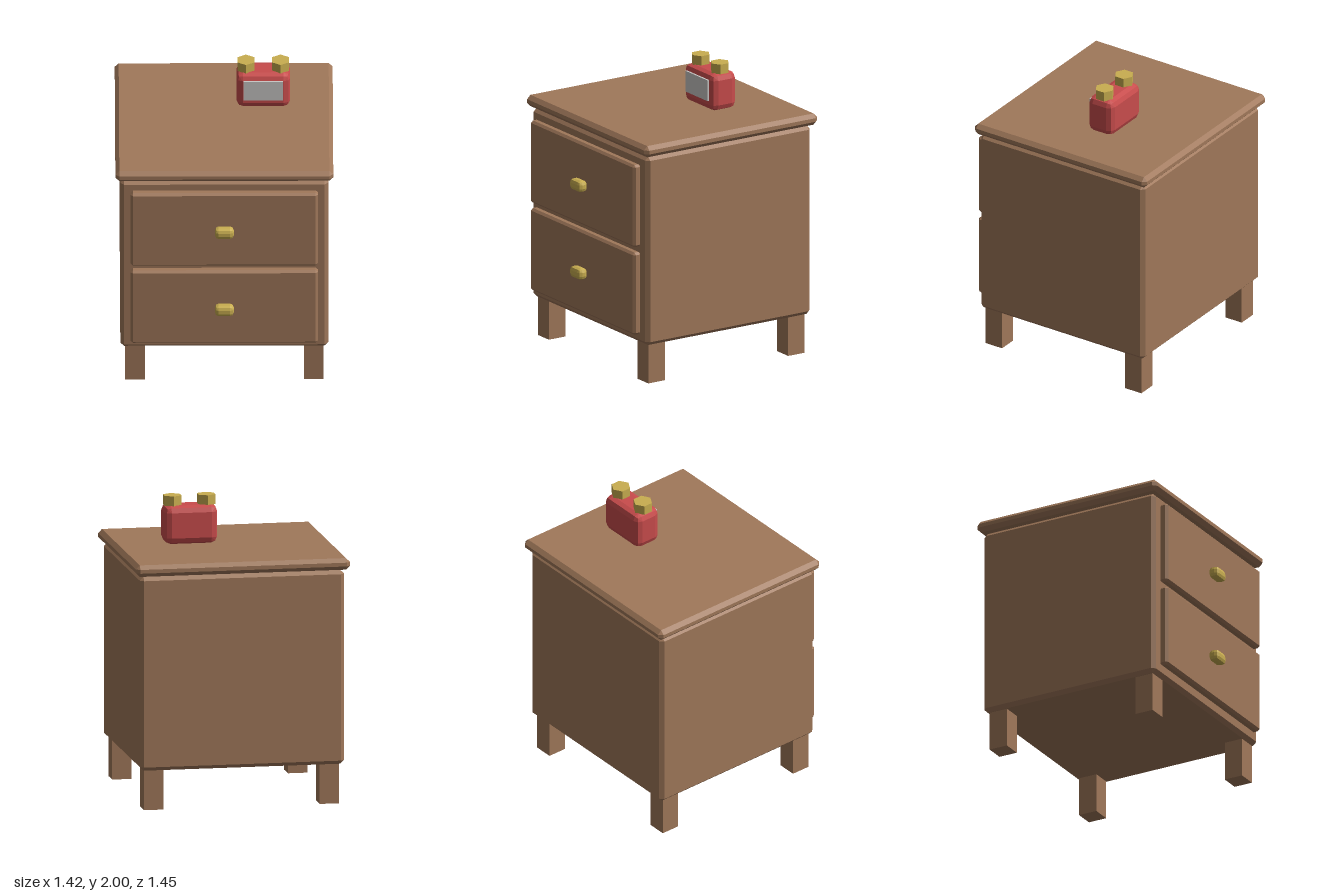
import * as THREE from 'three';
import { ConvexGeometry } from 'three/addons/geometries/ConvexGeometry.js';

const mat = (name, color) => {
  const m = new THREE.MeshStandardMaterial({ color });
  m.name = name;
  return m;
};

// Directions that shape a box corner: one flat chamfer, or a two-step rounding
const CHAMFER = [[1, 0, 0], [0, 1, 0], [0, 0, 1]];
const e = Math.SQRT1_2, c = 1 / Math.sqrt(3);
const ROUND = [...CHAMFER, [e, e, 0], [e, 0, e], [0, e, e], [c, c, c]];

// Box with softened edges of radius r
function softBox(w, h, d, r, corner) {
  const points = [];
  for (const sx of [-1, 1]) for (const sy of [-1, 1]) for (const sz of [-1, 1])
    for (const [x, y, z] of corner)
      points.push(new THREE.Vector3(
        sx * (w / 2 - r + r * x),
        sy * (h / 2 - r + r * y),
        sz * (d / 2 - r + r * z)));
  return new ConvexGeometry(points);
}

export function createModel() {
  const wood = mat('wood', 0xa0785a);
  const brass = mat('brass', 0xc9ae50);
  const red = mat('red enamel', 0xc94c4c);
  const pale = mat('pale face', 0xc8c6c4);

  const model = new THREE.Group();
  model.name = 'nightstand';
  const add = (parent, name, geometry, material, x, y, z) => {
    const mesh = new THREE.Mesh(geometry, material);
    mesh.name = name;
    mesh.position.set(x, y, z);
    parent.add(mesh);
    return mesh;
  };

  // Cabinet and overhanging top
  const midZ = -0.043;
  add(model, 'cabinet', softBox(1.36, 1.29, 1.295, 0.025, CHAMFER), wood, 0, 0.91, midZ);
  add(model, 'tabletop', softBox(1.425, 0.077, 1.36, 0.026, CHAMFER), wood, 0, 1.6, -0.046);

  // Four square legs
  const leg = new THREE.BoxGeometry(0.13, 0.28, 0.13);
  for (const sx of [-1, 1]) for (const sz of [-1, 1])
    add(model, 'leg', leg, wood, sx * 0.585, 0.14, midZ + 0.003 + sz * 0.55);

  // Two drawers, each with a knob
  const front = softBox(1.225, 0.562, 0.06, 0.015, CHAMFER);
  const knob = softBox(0.125, 0.076, 0.07, 0.025, ROUND);
  for (const y of [1.212, 0.613]) {
    const drawer = new THREE.Group();
    drawer.name = 'drawer';
    add(drawer, 'drawerFront', front, wood, 0, y, 0.633);
    add(drawer, 'drawerKnob', knob, brass, 0, y, 0.69);
    model.add(drawer);
  }

  // Alarm clock with two hexagonal bells
  const clock = new THREE.Group();
  clock.name = 'alarmClock';
  clock.position.set(0.257, 1.81, -0.175);
  add(clock, 'clockBody', softBox(0.352, 0.254, 0.192, 0.043, ROUND), red, 0, 0, 0);
  add(clock, 'clockFace', new THREE.BoxGeometry(0.258, 0.142, 0.018), pale, 0, 0.015, 0.1);
  const bell = new THREE.CylinderGeometry(0.064, 0.064, 0.066, 6).toNonIndexed();
  bell.computeVertexNormals();
  for (const sx of [-1, 1])
    add(clock, 'bell', bell, brass, sx * 0.113, 0.157, 0);
  model.add(clock);

  return model;
}
